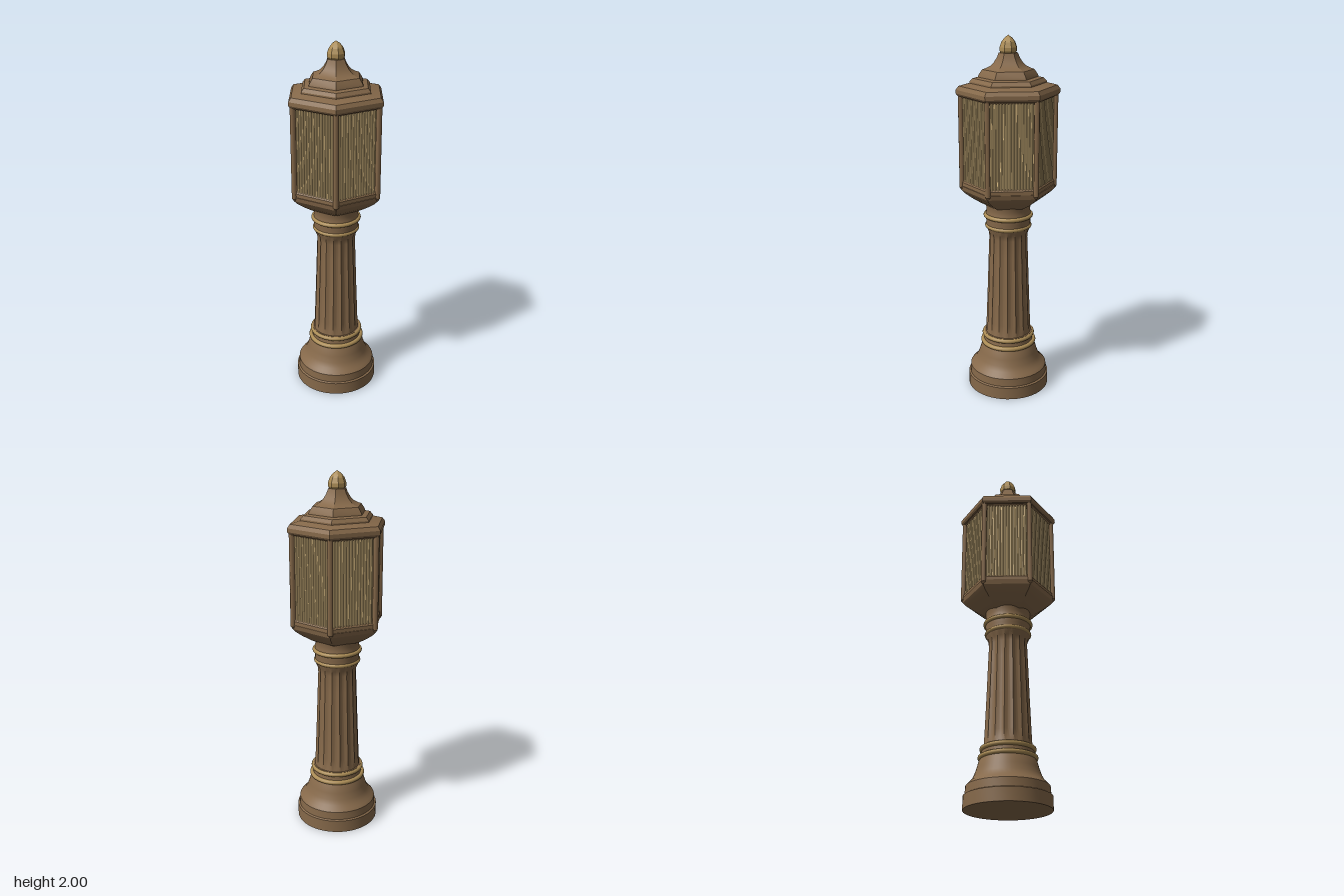
import * as THREE from 'three';
import { toCreasedNormals } from 'three/addons/utils/BufferGeometryUtils.js';

const bronze = new THREE.MeshStandardMaterial({ color: 0x86694a });
const gold = new THREE.MeshStandardMaterial({ color: 0xab8c55 });
const glass = new THREE.MeshStandardMaterial({ color: 0xe8c88c });

const SIDES = 6;
const APOTHEM = Math.cos(Math.PI / SIDES);

function add(parent, name, geometry, material) {
  const mesh = new THREE.Mesh(geometry, material);
  mesh.name = name;
  parent.add(mesh);
  return mesh;
}

// Turned profile of [radius, y] points, listed from bottom to top
function turned(points, segments = 48, phase = 0, crease = 0.5) {
  const profile = points.map(([r, y]) => new THREE.Vector2(r, y));
  return toCreasedNormals(new THREE.LatheGeometry(profile, segments, phase), crease);
}

// Hexagonal turning with corners on the x axis
const hex = (points) => turned(points, SIDES, Math.PI / 6, 0.3);

// Column shaft whose radius is scalloped by flutes that fade out at both ends
function flutedShaft() {
  const flutes = 16;
  const profile = [[0.128, 0.33], [0.127, 0.36], [0.125, 0.4], [0.117, 0.6], [0.110, 0.8],
    [0.106, 0.9], [0.109, 0.93], [0.118, 0.95], [0.12, 0.965]];
  const geo = new THREE.LatheGeometry(profile.map(([r, y]) => new THREE.Vector2(r, y)), flutes * 8);
  const pos = geo.attributes.position;
  for (let i = 0; i < pos.count; i++) {
    const x = pos.getX(i), y = pos.getY(i), z = pos.getZ(i);
    const fade = THREE.MathUtils.smoothstep(y, 0.33, 0.38) * (1 - THREE.MathUtils.smoothstep(y, 0.91, 0.96));
    const wave = Math.abs(Math.sin(Math.atan2(x, z) * flutes / 2));
    const s = 1 - 0.075 * fade * wave;
    pos.setXYZ(i, x * s, y, z * s);
  }
  return toCreasedNormals(geo, 0.6);
}

// Pane with rounded vertical ribs on its outer side
function reededPane(width, bottom, top, depth) {
  const ribs = 14, steps = 4, pitch = width / ribs;
  const shape = new THREE.Shape();
  shape.moveTo(-width / 2, depth - 0.03);
  shape.lineTo(width / 2, depth - 0.03);
  for (let i = 0; i < ribs; i++) {
    for (let j = 0; j <= steps; j++) {
      const a = (j / steps) * Math.PI;
      const centre = width / 2 - (i + 0.5) * pitch;
      shape.lineTo(centre + Math.cos(a) * pitch * 0.46, depth - 0.007 + Math.sin(a) * 0.007);
    }
  }
  const geo = new THREE.ExtrudeGeometry(shape, { depth: top - bottom, bevelEnabled: false });
  geo.rotateX(Math.PI / 2);
  geo.translate(0, top, 0);
  return geo;
}

export function createModel() {
  const model = new THREE.Group();
  model.name = 'lampPost';

  // Round stepped foot with a concave sweep
  add(model, 'foot', turned([
    [0, 0], [0.23, 0], [0.23, 0.07], [0.22, 0.075], [0.218, 0.12], [0.205, 0.135],
    [0.19, 0.148], [0.175, 0.175], [0.163, 0.21], [0.152, 0.25], [0.14, 0.27],
    [0.137, 0.3], [0.137, 0.33], [0, 0.33],
  ]), bronze);

  add(model, 'flutedShaft', flutedShaft(), bronze);

  // Collar under the lantern
  add(model, 'collar', turned([
    [0.118, 0.955], [0.122, 0.96], [0.122, 1.0], [0.126, 1.03], [0.122, 1.05],
    [0.12, 1.07], [0.127, 1.1], [0, 1.1],
  ]), bronze);

  // Rounded gold rings: [radius, height, thickness]
  for (const [r, y, t] of [[0.145, 0.27, 0.013], [0.136, 0.316, 0.013], [0.118, 0.97, 0.011], [0.125, 1.03, 0.012]]) {
    const ring = new THREE.TorusGeometry(r, t, 10, 48);
    ring.rotateX(Math.PI / 2);
    ring.translate(0, y, 0);
    add(model, 'ring', ring, gold);
  }

  // Hexagonal lantern
  const lantern = new THREE.Group();
  lantern.name = 'lantern';
  model.add(lantern);

  add(lantern, 'bowl', hex([
    [0, 1.075], [0.1, 1.075], [0.15, 1.098], [0.2, 1.128], [0.24, 1.157],
    [0.256, 1.175], [0.263, 1.2], [0, 1.2],
  ]), bronze);
  add(lantern, 'lowerRail', hex([[0.258, 1.195], [0.258, 1.22], [0.242, 1.237], [0.2, 1.237]]), bronze);
  add(lantern, 'upperRail', hex([[0.2, 1.672], [0.243, 1.672], [0.26, 1.688], [0.26, 1.7]]), bronze);

  const paneGeo = reededPane(0.222, 1.22, 1.69, 0.219);
  const postGeo = new THREE.CylinderGeometry(0.015, 0.015, 0.51, 6);
  const postTipGeo = new THREE.ConeGeometry(0.015, 0.02, 6).rotateX(Math.PI);
  for (let i = 0; i < SIDES; i++) {
    const side = new THREE.Group();
    side.name = 'lanternSide';
    side.rotation.y = (i * Math.PI * 2) / SIDES;
    lantern.add(side);
    add(side, 'pane', paneGeo, glass);
    // Corner post and its pointed lower tip
    const x = 0.253 * 0.5, z = 0.253 * APOTHEM;
    add(side, 'cornerPost', postGeo, bronze).position.set(x, 1.445, z);
    add(side, 'postTip', postTipGeo, bronze).position.set(x, 1.18, z);
  }

  // Tiered hexagonal roof with a swept peak
  add(lantern, 'roof', hex([
    [0, 1.688], [0.268, 1.688], [0.277, 1.7], [0.277, 1.72], [0.262, 1.74],
    [0.205, 1.754], [0.204, 1.762], [0.188, 1.779], [0.16, 1.785], [0.157, 1.795],
    [0.137, 1.824], [0.118, 1.83], [0.095, 1.842], [0.076, 1.86], [0.06, 1.885], [0.05, 1.91], [0, 1.91],
  ]), bronze);

  // Faceted bud on top
  add(lantern, 'finial', turned([
    [0, 1.9], [0.036, 1.9], [0.048, 1.92], [0.048, 1.938], [0.038, 1.965],
    [0.022, 1.985], [0, 2],
  ], 8, 0, 0.3), gold);

  return model;
}
